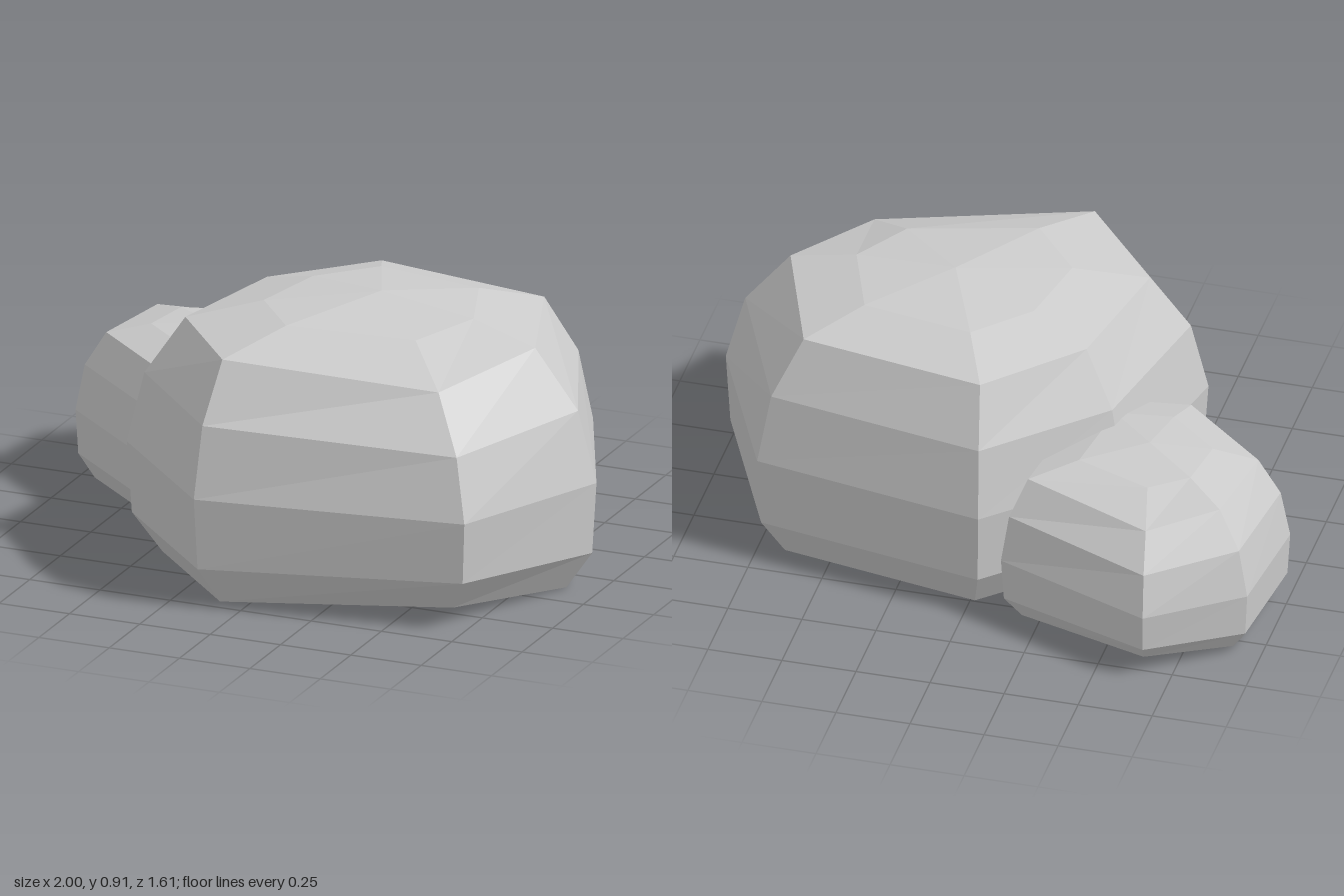
import * as THREE from 'three';

const material = new THREE.MeshStandardMaterial({
  color: 0xcccccc, flatShading: true, side: THREE.DoubleSide,
});

// Faceted boulder, open underneath. Corners run clockwise seen from above:
// [x, z at the widest level, x, z at the shoulder, vertical squash].
function boulder(name, { corners, apex, levels, domeScale }) {
  const [ax, ay, az] = apex;
  const midY = levels[2];
  const lerp = THREE.MathUtils.lerp;

  // Each level is either a scaling of the widest outline, a blend towards
  // the shoulder outline, or a scaling of the shoulder towards the apex.
  const outline = [
    (c) => [lerp(ax, c[0], 0.86), lerp(az, c[1], 0.86)],
    (c) => [lerp(ax, c[0], 0.98), lerp(az, c[1], 0.98)],
    (c) => [c[0], c[1]],
    (c) => [lerp(c[0], c[2], 0.3), lerp(c[1], c[3], 0.3)],
    (c) => [c[2], c[3]],
    (c) => [lerp(ax, c[2], domeScale), lerp(az, c[3], domeScale)],
  ];

  const n = corners.length;
  const positions = [];
  const index = [];
  outline.forEach((at, level) => {
    for (const c of corners) {
      const [x, z] = at(c);
      const squash = level === 5 ? 0.96 : c[4] ?? 1;
      positions.push(x, midY + (levels[level] - midY) * (c[4] ? squash : 1), z);
    }
  });
  positions.push(ax, ay, az);

  // Side bands
  for (let r = 0; r < outline.length - 1; r++) {
    for (let i = 0; i < n; i++) {
      const j = (i + 1) % n;
      const a = r * n + i, b = r * n + j;
      index.push(b, a, a + n, b, a + n, b + n);
    }
  }
  // Crown fan
  const last = (outline.length - 1) * n;
  for (let i = 0; i < n; i++) index.push(last + ((i + 1) % n), last + i, outline.length * n);

  const indexed = new THREE.BufferGeometry();
  indexed.setAttribute('position', new THREE.Float32BufferAttribute(positions, 3));
  indexed.setIndex(index);
  const geometry = indexed.toNonIndexed();
  geometry.computeVertexNormals();
  const mesh = new THREE.Mesh(geometry, material);
  mesh.name = name;
  return mesh;
}

export function createModel() {
  const group = new THREE.Group();
  group.name = 'boulders';

  group.add(boulder('largeBoulder', {
    corners: [
      [-0.05, -0.585, -0.02, -0.45],
      [0.735, -0.44, 0.605, -0.34],
      [0.995, 0.13, 0.775, 0.125],
      [0.76, 0.67, 0.59, 0.49, 0.86],
      [-0.145, 0.8, -0.115, 0.635],
      [-0.57, 0.37, -0.39, 0.305],
      [-0.44, -0.215, -0.3, -0.155],
    ],
    apex: [0.2, 0.91, 0.06],
    levels: [0, 0.135, 0.38, 0.62, 0.815, 0.875],
    domeScale: 0.6,
  }));

  group.add(boulder('smallBoulder', {
    corners: [
      [-0.665, -0.805, -0.635, -0.655, 0.86],
      [-0.13, -0.595, -0.2, -0.515],
      [-0.2, 0.08, -0.27, 0],
      [-0.62, 0.125, -0.6, 0.045],
      [-1, -0.2, -0.895, -0.21],
      [-0.96, -0.59, -0.85, -0.525],
    ],
    apex: [-0.55, 0.58, -0.29],
    levels: [0.01, 0.09, 0.24, 0.4, 0.52, 0.56],
    domeScale: 0.58,
  }));

  return group;
}
